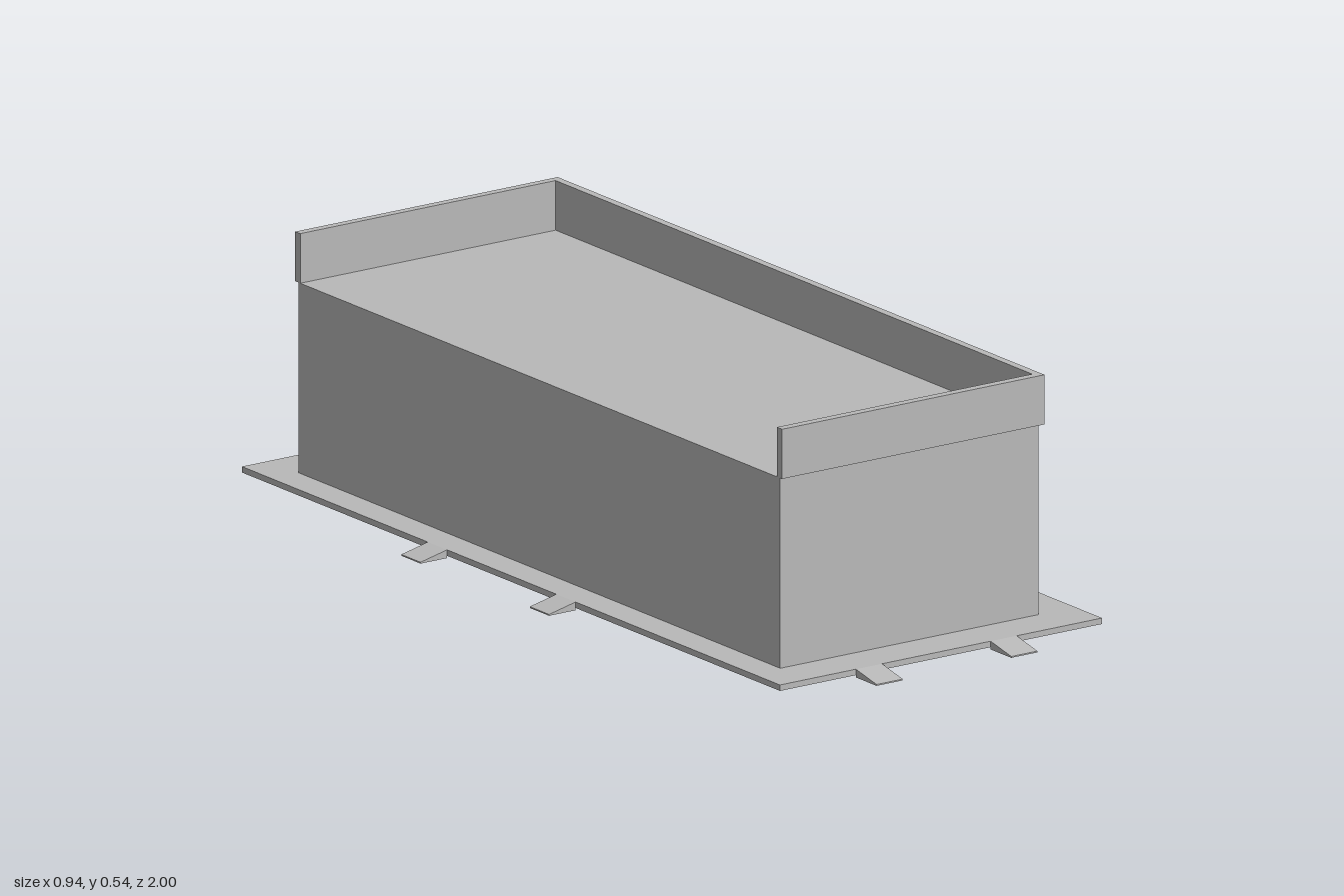
import * as THREE from 'three';

export function createModel() {
  const model = new THREE.Group();
  const grey = new THREE.MeshStandardMaterial({ color: 0xb8b8b8 });
  grey.name = 'plain grey';

  function add(name, geometry) {
    const mesh = new THREE.Mesh(geometry, grey);
    mesh.name = name;
    model.add(mesh);
    return mesh;
  }

  // Box given by its limits on each axis
  function block(name, x0, x1, y0, y1, z0, z1) {
    const mesh = add(name, new THREE.BoxGeometry(x1 - x0, y1 - y0, z1 - z0));
    mesh.position.set((x0 + x1) / 2, (y0 + y1) / 2, (z0 + z1) / 2);
    return mesh;
  }

  // Wedge that slopes down along its local +x, centred on its local z
  function ramp(name, x, z, length, width, turn) {
    const profile = new THREE.Shape();
    profile.moveTo(0, 0);
    profile.lineTo(length, 0);
    profile.lineTo(length, 0.003);
    profile.lineTo(0, 0.018);
    profile.closePath();
    const geometry = new THREE.ExtrudeGeometry(profile, { depth: width, bevelEnabled: false });
    geometry.translate(0, 0, -width / 2);
    const mesh = add(name, geometry);
    mesh.position.set(x, 0, z);
    mesh.rotation.y = turn;
  }

  // Pavement and main volume with its flat roof
  block('pavement', -0.4, 0.425, 0.005, 0.018, -1, 0.926);
  block('building', -0.33, 0.332, 0.018, 0.432, -0.895, 0.829);

  // Parapet on three sides, open on the left-hand long side
  block('frontParapet', -0.33, 0.342, 0.432, 0.54, 0.817, 0.836);
  block('backParapet', -0.33, 0.342, 0.432, 0.54, -0.907, -0.889);
  block('sideParapet', 0.324, 0.342, 0.432, 0.54, -0.889, 0.817);

  // Tall window panels along the side wall
  const panelCentres = [0.754, 0.636, 0.48, 0.365, 0.25, 0.136,
    -0.207, -0.32, -0.433, -0.549, -0.705];
  for (const z of panelCentres) {
    block('windowPanel', 0.331, 0.334, 0.08, 0.383, z - 0.051, z + 0.051);
  }

  // Projecting grille in the last window opening
  const y0 = 0.083, y1 = 0.378, z0 = -0.864, z1 = -0.778, bar = 0.005;
  for (let i = 0; i <= 3; i++) {
    const z = z0 + ((z1 - z0 - bar) * i) / 3;
    block('grilleUpright', 0.331, 0.345, y0, y1, z, z + bar);
  }
  for (let i = 0; i <= 4; i++) {
    const y = y0 + ((y1 - y0 - bar) * i) / 4;
    block('grilleCrossbar', 0.331, 0.345, y, y + bar, z0, z1);
  }

  // Kerb ramps around the pavement
  for (const x of [-0.172, 0.173]) ramp('frontRamp', x, 0.926, 0.074, 0.067, -Math.PI / 2);
  for (const z of [-0.3, 0.16]) ramp('rightRamp', -0.4, z, 0.068, 0.069, Math.PI);
  ramp('leftRamp', 0.425, -0.002, 0.043, 0.205, 0);

  return model;
}
